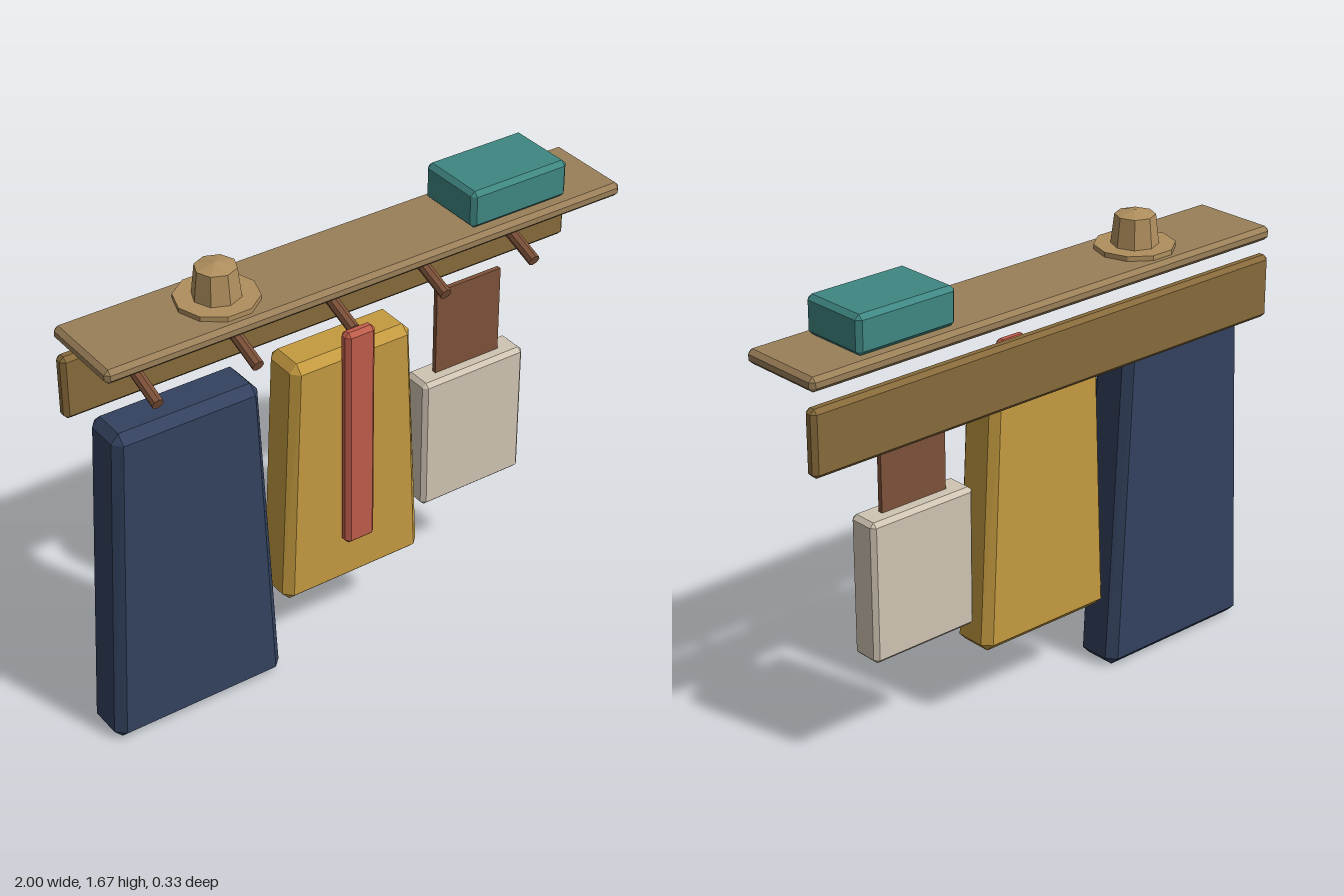
import * as THREE from 'three';
import { ConvexGeometry } from 'three/addons/geometries/ConvexGeometry.js';

const material = (color) => new THREE.MeshStandardMaterial({ color, flatShading: true });

// Box with chamfered edges, given by its min and max corners; topScale narrows x towards the top
function chamferBox(name, mat, min, max, bevel, topScale = 1) {
  const half = [0, 1, 2].map((i) => (max[i] - min[i]) / 2);
  const points = [];
  for (const sx of [-1, 1]) for (const sy of [-1, 1]) for (const sz of [-1, 1]) {
    for (let face = 0; face < 3; face++) {
      const p = [sx, sy, sz].map((s, i) => s * (half[i] - (i === face ? 0 : bevel)));
      p[0] *= THREE.MathUtils.lerp(1, topScale, (p[1] / half[1] + 1) / 2);
      points.push(new THREE.Vector3(...p));
    }
  }
  const mesh = new THREE.Mesh(new ConvexGeometry(points), mat);
  mesh.name = name;
  mesh.position.set(...min.map((v, i) => (v + max[i]) / 2));
  return mesh;
}

// Faceted disc or cone section standing on height y
function prism(name, mat, rTop, rBottom, y, height, sides) {
  const geometry = new THREE.CylinderGeometry(rTop, rBottom, height, sides);
  geometry.rotateY(Math.PI / 2);
  const mesh = new THREE.Mesh(geometry, mat);
  mesh.name = name;
  mesh.position.y = y + height / 2;
  return mesh;
}

export function createModel() {
  const model = new THREE.Group();
  model.name = 'coatRack';

  const brown = material(0x7d5139);
  const straw = material(0xb08f5e);

  // Shelf and peg board
  model.add(
    chamferBox('shelf', material(0x9b8059), [-1, 1.485, -0.165], [1, 1.535, 0.165], 0.015),
    chamferBox('pegBoard', material(0x876a3b), [-1, 1.2, -0.165], [1, 1.43, -0.115], 0.015),
  );

  // Five pegs sloping down towards the front
  const back = new THREE.Vector3(0, 1.312, -0.135);
  const tip = new THREE.Vector3(0, 1.25, 0.03);
  const direction = tip.clone().sub(back);
  const pegGeometry = new THREE.CylinderGeometry(0.022, 0.022, direction.length(), 8);
  const up = new THREE.Vector3(0, 1, 0);
  for (let i = -2; i <= 2; i++) {
    const peg = new THREE.Mesh(pegGeometry, brown);
    peg.name = 'peg';
    peg.position.copy(back).add(tip).multiplyScalar(0.5);
    peg.position.x = i * 0.375;
    peg.quaternion.setFromUnitVectors(up, direction.clone().normalize());
    model.add(peg);
  }

  // Hanging coats and scarf
  model.add(
    chamferBox('longCoat', material(0x33425f), [-1.002, 0, -0.09], [-0.338, 1.22, 0.09], 0.032, 0.81),
    chamferBox('shortCoat', material(0xc59b40), [-0.318, 0.275, -0.085], [0.248, 1.222, 0.085], 0.03, 0.83),
    chamferBox('scarf', material(0xbf5c4a), [-0.095, 0.46, 0.08], [0.022, 1.31, 0.128], 0.015),
  );

  // Bag on its flat strap
  const strap = new THREE.Mesh(new THREE.BoxGeometry(0.268, 0.345, 0.018), brown);
  strap.name = 'bagStrap';
  strap.position.set(0.498, 1.0725, -0.013);
  model.add(
    strap,
    chamferBox('bag', material(0xd0c5b3), [0.285, 0.41, -0.073], [0.712, 0.92, 0.044], 0.015),
  );

  // Hat and box on the shelf
  const hat = new THREE.Group();
  hat.name = 'hat';
  hat.position.x = -0.503;
  hat.add(
    prism('hatBrim', straw, 0.14, 0.14, 1.535, 0.017, 10),
    prism('hatCrown', straw, 0.07, 0.082, 1.55, 0.105, 8),
    prism('hatTop', straw, 0, 0.07, 1.655, 0.016, 8),
  );
  model.add(
    hat,
    chamferBox('storageBox', material(0x3f8782), [0.4, 1.535, -0.133], [0.793, 1.67, 0.13], 0.016),
  );

  return model;
}
